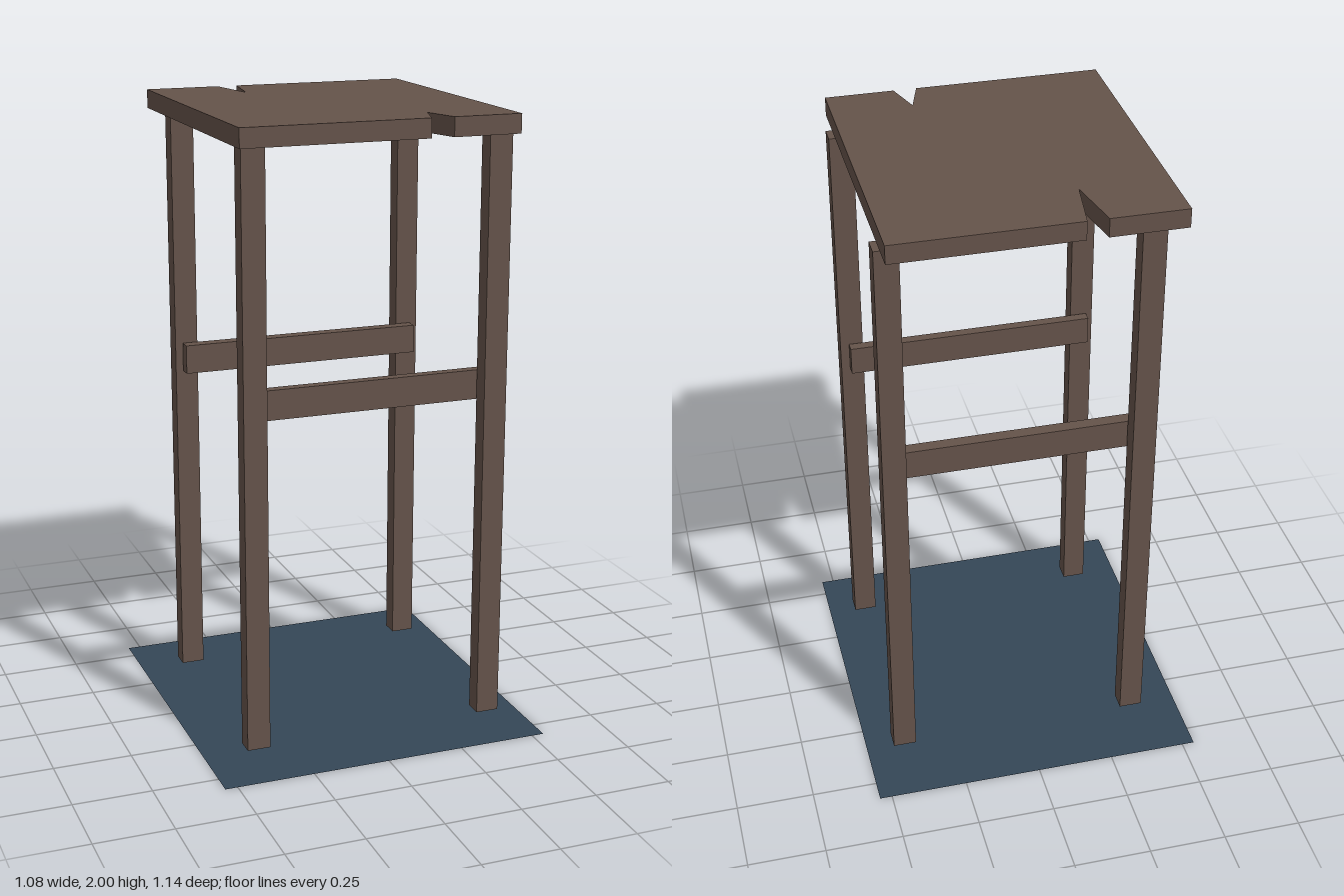
import * as THREE from 'three';

export function createModel() {
  const group = new THREE.Group();
  group.name = 'woodenStand';
  const wood = new THREE.MeshStandardMaterial({ color: 0x65534a });
  wood.name = 'brown wood';
  const floor = new THREE.MeshStandardMaterial({ color: 0x344657, side: THREE.DoubleSide });
  floor.name = 'slate blue';

  function add(name, geometry, material) {
    const mesh = new THREE.Mesh(geometry, material);
    mesh.name = name;
    group.add(mesh);
    return mesh;
  }

  // Box given by its lower and upper limits on each axis
  function beam(name, [x0, x1], [y0, y1], [z0, z1]) {
    add(name, new THREE.BoxGeometry(x1 - x0, y1 - y0, z1 - z0), wood)
      .position.set((x0 + x1) / 2, (y0 + y1) / 2, (z0 + z1) / 2);
  }

  // Flat ground sheet
  add('groundSheet', new THREE.PlaneGeometry(1.08, 1.14).rotateX(-Math.PI / 2), floor);

  // Four legs
  const sides = { Right: [-0.413, -0.338], Left: [0.378, 0.453] };
  const rows = { front: [0.348, 0.406], back: [-0.373, -0.313] };
  for (const [side, x] of Object.entries(sides)) {
    for (const [row, z] of Object.entries(rows)) {
      beam(`${row}${side}Leg`, x, [0.03, 1.93], z);
    }
  }

  // Cross rails on the inner faces of the legs
  beam('frontRail', [-0.39, 0.425], [1.085, 1.18], [0.31, 0.343]);
  beam('backRail', [-0.39, 0.425], [1.085, 1.18], [-0.307, -0.266]);

  // Table top outline in x, z with a split in the front and back edges
  const outline = [
    [-0.445, 0.496], [0.145, 0.496], [0.181, 0.377], [0.218, 0.496], [0.436, 0.496],
    [0.436, -0.47], [-0.139, -0.47], [-0.168, -0.28], [-0.204, -0.47], [-0.445, -0.47],
  ];
  const shape = new THREE.Shape(outline.map(([x, z]) => new THREE.Vector2(x, -z)));
  const top = new THREE.ExtrudeGeometry(shape, { depth: 0.06, bevelEnabled: false });
  add('tableTop', top.rotateX(-Math.PI / 2), wood).position.y = 1.94;

  return group;
}
